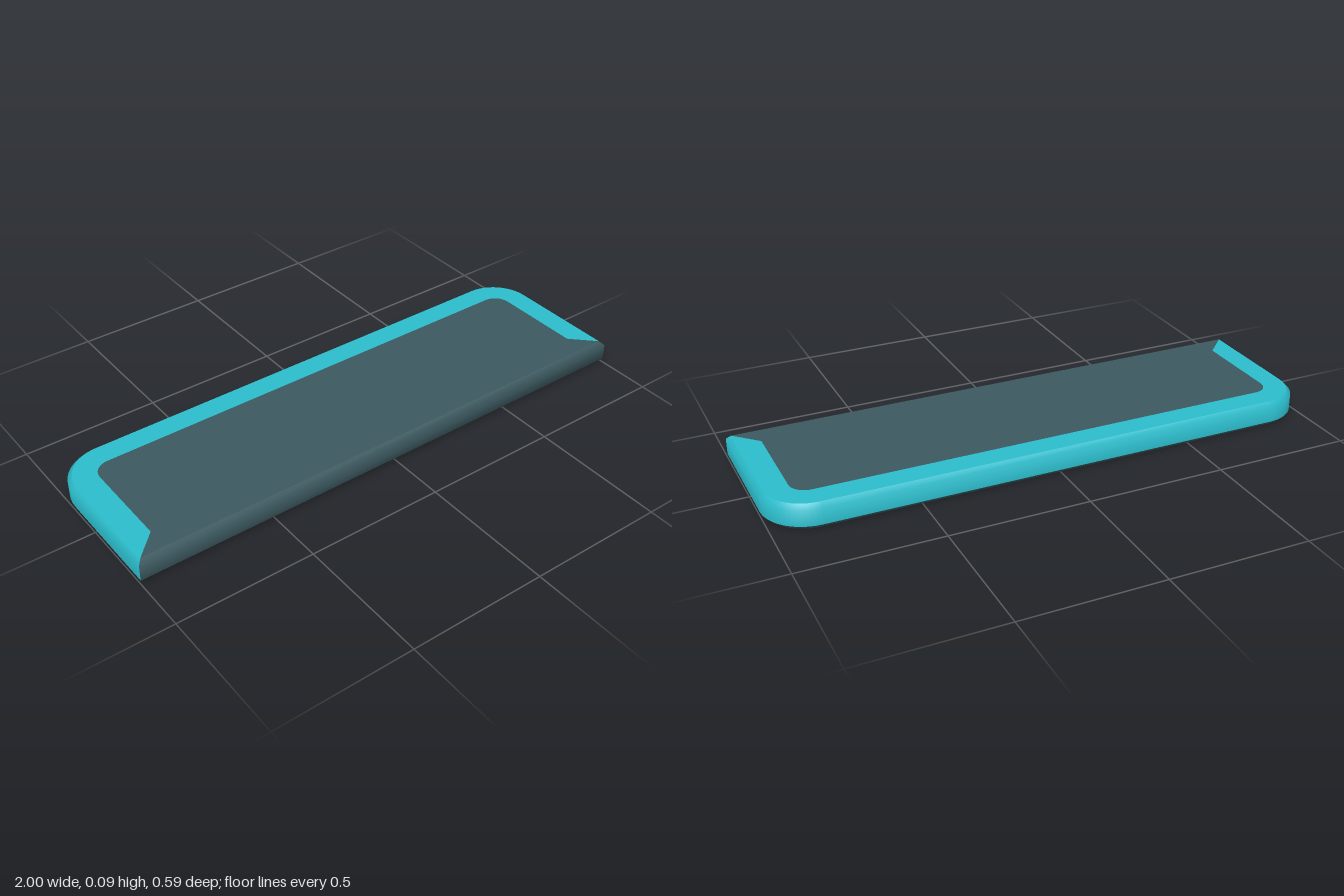
import * as THREE from 'three';
import { toCreasedNormals } from 'three/addons/utils/BufferGeometryUtils.js';

const HALF_W = 1, HALF_D = 0.295, HEIGHT = 0.091;
const CORNER = 0.16, BEVEL = 0.016, RIM = 0.1, ARC_STEPS = 12;

// Outline with square front corners and round back corners, counterclockwise from above
function ring(inset, y) {
  const w = HALF_W - inset, d = HALF_D - inset, r = CORNER - inset;
  const points = [new THREE.Vector3(w, y, d)];
  for (const start of [0, Math.PI / 2]) {
    const cx = start === 0 ? w - r : r - w;
    for (let i = 0; i <= ARC_STEPS; i++) {
      const a = start + (i / ARC_STEPS) * Math.PI / 2;
      points.push(new THREE.Vector3(cx + r * Math.cos(a), y, r - d - r * Math.sin(a)));
    }
  }
  points.push(new THREE.Vector3(-w, y, d));
  return points;
}

// Strips joining successive rings, over outline segments from..to
function strips(rings, from, to) {
  const tris = [];
  for (let k = 0; k < rings.length - 1; k++) {
    const a = rings[k], b = rings[k + 1], n = a.length;
    for (let i = from; i < to; i++) {
      const j = (i + 1) % n;
      tris.push(a[i], a[j], b[j], a[i], b[j], b[i]);
    }
  }
  return toGeometry(tris);
}

// Flat lid over one ring, facing up or down
function lid(points, up) {
  const centre = new THREE.Vector3(0, points[0].y, 0);
  const tris = [];
  points.forEach((p, i) => {
    const q = points[(i + 1) % points.length];
    tris.push(centre, up ? p : q, up ? q : p);
  });
  return toGeometry(tris);
}

function toGeometry(tris) {
  const geometry = new THREE.BufferGeometry().setFromPoints(tris);
  geometry.computeVertexNormals();
  return geometry;
}

export function createModel() {
  const group = new THREE.Group();
  const teal = new THREE.MeshStandardMaterial({ color: 0x2bbccb });
  const slate = new THREE.MeshStandardMaterial({ color: 0x3b585f });
  const add = (name, geometry, material) => {
    const mesh = new THREE.Mesh(geometry, material);
    mesh.name = name;
    group.add(mesh);
  };
  const smooth = (geometry) => toCreasedNormals(geometry, 0.9);

  const base = ring(BEVEL, 0);
  const low = ring(0, BEVEL);
  const high = ring(0, HEIGHT - BEVEL);
  const top = ring(BEVEL, HEIGHT);
  const inner = ring(RIM, HEIGHT);
  const n = base.length, front = n - 1; // last segment is the front edge

  // Teal border: side and back walls with the flat rim on top
  add('borderWall', smooth(strips([low, high, top], 0, front)), teal);
  add('borderRim', strips([top, inner], 0, front), teal);

  // Slate body: front wall, mitred front strip, top panel and underside
  add('frontWall', smooth(strips([base, low, high, top], front, n)), slate);
  add('frontStrip', strips([top, inner], front, n), slate);
  add('topPanel', lid(inner, true), slate);
  add('bottomBevel', smooth(strips([base, low], 0, front)), slate);
  add('underside', lid(base, false), slate);
  return group;
}
